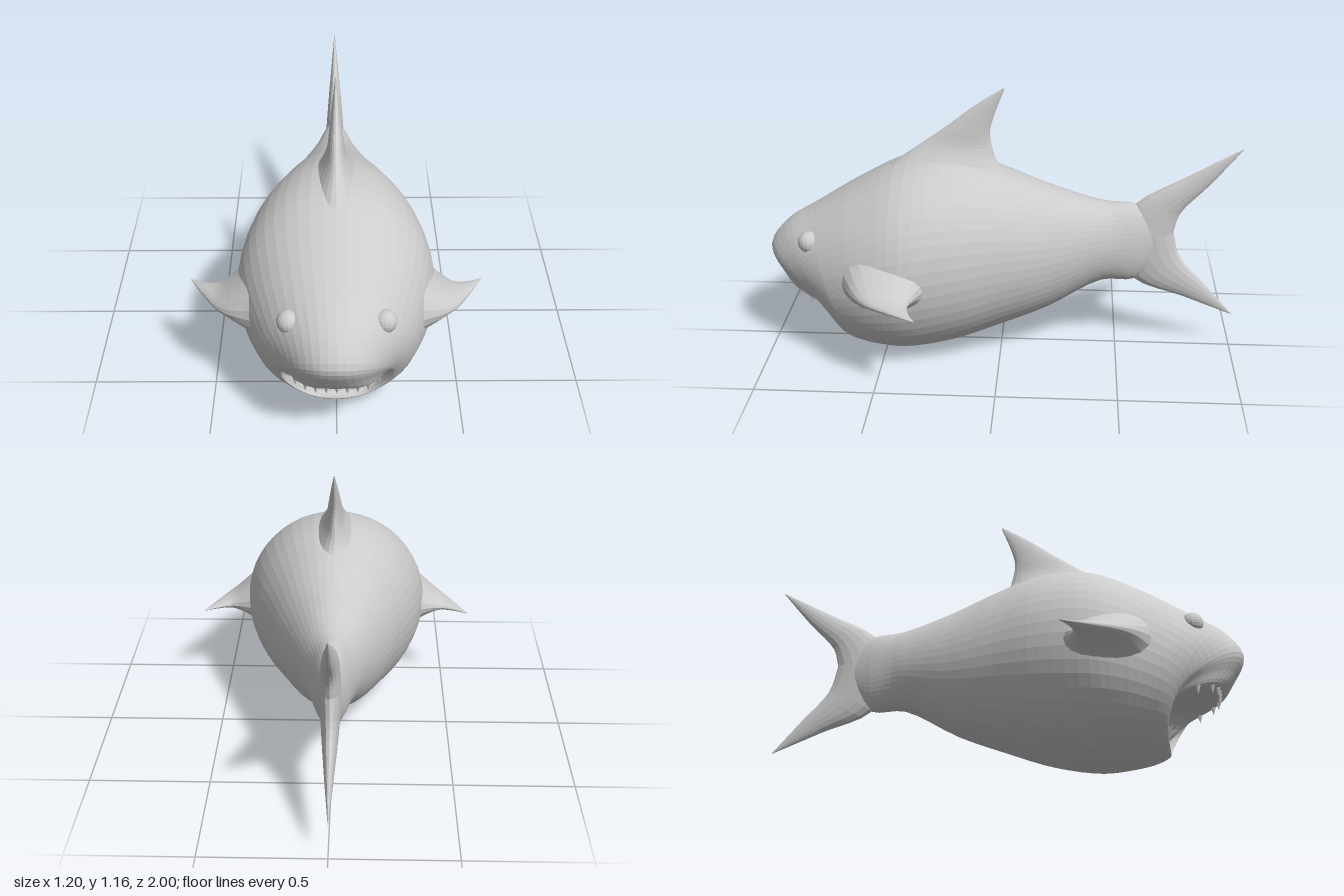
import * as THREE from 'three';

const material = new THREE.MeshStandardMaterial({ color: 0xcccccc, flatShading: true, side: THREE.DoubleSide });
const V = (x, y, z) => new THREE.Vector3(x, y, z);
const spow = (v, e) => Math.sign(v) * Math.pow(Math.abs(v), e);

// Loft of rings. A station has two opposite edge points a and b, a half width w along
// the axis, a bow along z at the ring's sides, and an exponent e (1 = ellipse, less = squarer).
function loft(name, stations, axis, segments = 40, sub = 4) {
  const curve = f => new THREE.CatmullRomCurve3(stations.map(f));
  const ca = curve(s => s.a), cb = curve(s => s.b);
  const cs = new THREE.CatmullRomCurve3(stations.map(s => V(s.w, s.bow ?? 0, s.e ?? 1)), false, 'catmullrom', 0.5);
  // Turn the axis so that the faces look outwards
  const s0 = stations[0], s1 = stations[1];
  const run = s1.a.clone().add(s1.b).sub(s0.a).sub(s0.b);
  const out = run.cross(axis).dot(s0.a.clone().sub(s0.b));
  const dir = axis.clone().multiplyScalar(out < 0 ? -1 : 1);

  const rows = (stations.length - 1) * sub, position = [], index = [];
  for (let i = 0; i <= rows; i++) {
    const u = i / rows, a = ca.getPoint(u), b = cb.getPoint(u), k = cs.getPoint(u);
    const mid = a.clone().add(b).multiplyScalar(0.5), half = a.clone().sub(mid);
    for (let j = 0; j < segments; j++) {
      const t = j / segments * Math.PI * 2, c = Math.cos(t), s = Math.sin(t);
      const p = mid.clone().addScaledVector(half, spow(c, k.z))
        .addScaledVector(dir, Math.max(k.x, 0.001) * spow(s, k.z));
      p.z += k.y * s * s;
      position.push(p.x, p.y, p.z);
      if (i < rows) {
        const n = (j + 1) % segments, q = i * segments, r = q + segments;
        index.push(q + j, r + j, q + n, q + n, r + j, r + n);
      }
    }
  }
  const geometry = new THREE.BufferGeometry();
  geometry.setAttribute('position', new THREE.Float32BufferAttribute(position, 3));
  geometry.setIndex(index);
  geometry.computeVertexNormals();
  const mesh = new THREE.Mesh(geometry, material);
  mesh.name = name;
  return mesh;
}

// Station in the middle plane: z and y of both edge points
const st = ([za, ya, zb, yb, w, bow, e]) => ({ a: V(0, ya, za), b: V(0, yb, zb), w, bow, e });

export function createModel() {
  const group = new THREE.Group();
  group.name = 'fish';
  const X = V(1, 0, 0), Y = V(0, 1, 0);

  // Body from the tail root to the lips, then back into the mouth
  group.add(loft('body', [
    [-0.73, 0.55, -0.73, 0.53, 0.008],
    [-0.66, 0.60, -0.66, 0.40, 0.035],
    [-0.57, 0.66, -0.57, 0.315, 0.07],
    [-0.43, 0.67, -0.43, 0.31, 0.12],
    [-0.2, 0.735, -0.2, 0.185, 0.21],
    [0, 0.81, 0, 0.105, 0.29],
    [0.2, 0.86, 0.2, 0.035, 0.365],
    [0.4, 0.845, 0.4, 0, 0.4],
    [0.6, 0.75, 0.52, 0.008, 0.37],
    [0.8, 0.63, 0.6, 0.02, 0.305],
    [0.93, 0.55, 0.65, 0.035, 0.255, -0.04],
    [1, 0.45, 0.68, 0.055, 0.22, -0.09, 0.95],
    [0.96, 0.36, 0.675, 0.07, 0.205, -0.11, 0.8],
    [0.9, 0.29, 0.66, 0.08, 0.185, -0.1, 0.55],
    [0.82, 0.29, 0.62, 0.075, 0.165, -0.07, 0.6],
    [0.6, 0.27, 0.56, 0.08, 0.13, 0, 0.7],
    [0.5, 0.25, 0.5, 0.1, 0.11, 0, 0.8],
    [0.48, 0.18, 0.48, 0.17, 0.005],
  ].map(st), X, 48));

  // Dorsal fin flaring into the back
  group.add(loft('dorsalFin', [
    [0.55, 0.76, -0.04, 0.76, 0.13],
    [0.43, 0.85, 0.02, 0.84, 0.075],
    [0.33, 0.92, 0.04, 0.9, 0.04],
    [0.22, 1.0, 0.05, 0.97, 0.027],
    [0.11, 1.085, 0.03, 1.05, 0.015],
    [-0.005, 1.16, -0.01, 1.155, 0.001],
  ].map(st), X, 24));

  // Forked tail
  group.add(loft('upperTailLobe', [
    [-0.47, 0.5, -0.73, 0.53, 0.045],
    [-0.57, 0.665, -0.755, 0.62, 0.036],
    [-0.78, 0.79, -0.87, 0.75, 0.02],
    [-1, 0.915, -1, 0.91, 0.001],
  ].map(st), X, 16));
  group.add(loft('lowerTailLobe', [
    [-0.47, 0.5, -0.73, 0.54, 0.045],
    [-0.57, 0.315, -0.765, 0.42, 0.036],
    [-0.78, 0.235, -0.88, 0.29, 0.02],
    [-1, 0.15, -1, 0.155, 0.001],
  ].map(st), X, 16));

  // Side fins and eyes
  for (const [side, label] of [[1, 'left'], [-1, 'right']]) {
    group.add(loft(label + 'SideFin', [
      [0.34, 0.64, 0.27, 0.415, 0.13],
      [0.42, 0.59, 0.32, 0.405, 0.065],
      [0.48, 0.53, 0.35, 0.395, 0.03],
      [0.54, 0.43, 0.34, 0.39, 0.014],
      [0.6, 0.315, 0.31, 0.387, 0.001],
    ].map(([x, front, back, y, w]) => ({ a: V(side * x, y, front), b: V(side * x, y, back), w })), Y, 20));

    const eye = new THREE.Mesh(new THREE.SphereGeometry(0.046, 16, 12), material);
    eye.position.set(side * 0.182, 0.53, 0.8);
    eye.name = label + 'Eye';
    group.add(eye);
  }

  // Tongue
  const tongue = new THREE.Mesh(new THREE.SphereGeometry(1, 20, 12), material);
  tongue.scale.set(0.08, 0.045, 0.08);
  tongue.position.set(0, 0.1, 0.56);
  tongue.name = 'tongue';
  group.add(tongue);

  // Teeth along both lips
  const teeth = new THREE.Group();
  teeth.name = 'teeth';
  const addTooth = (x, y, z, r, h, down) => {
    const tooth = new THREE.Mesh(new THREE.ConeGeometry(r, h, 6), material);
    tooth.position.set(x, y, z);
    if (down) tooth.rotation.x = Math.PI;
    tooth.name = down ? 'upperTooth' : 'lowerTooth';
    teeth.add(tooth);
  };
  for (let i = -4; i <= 4; i++) {
    const x = i * 0.04, s = Math.pow(Math.abs(x) / 0.185, 1 / 0.55);
    const t = Math.pow(1 - s * s, 0.275);
    addTooth(x, 0.175 + 0.105 * t, 0.77 + 0.12 * t - 0.1 * s * s, 0.015, 0.05, true);
  }
  for (let i = -5; i <= 5; i++) {
    const x = i * 0.012;
    addTooth(x, 0.088, 0.645 - 4 * x * x, 0.007, 0.03, false);
  }
  group.add(teeth);
  return group;
}
